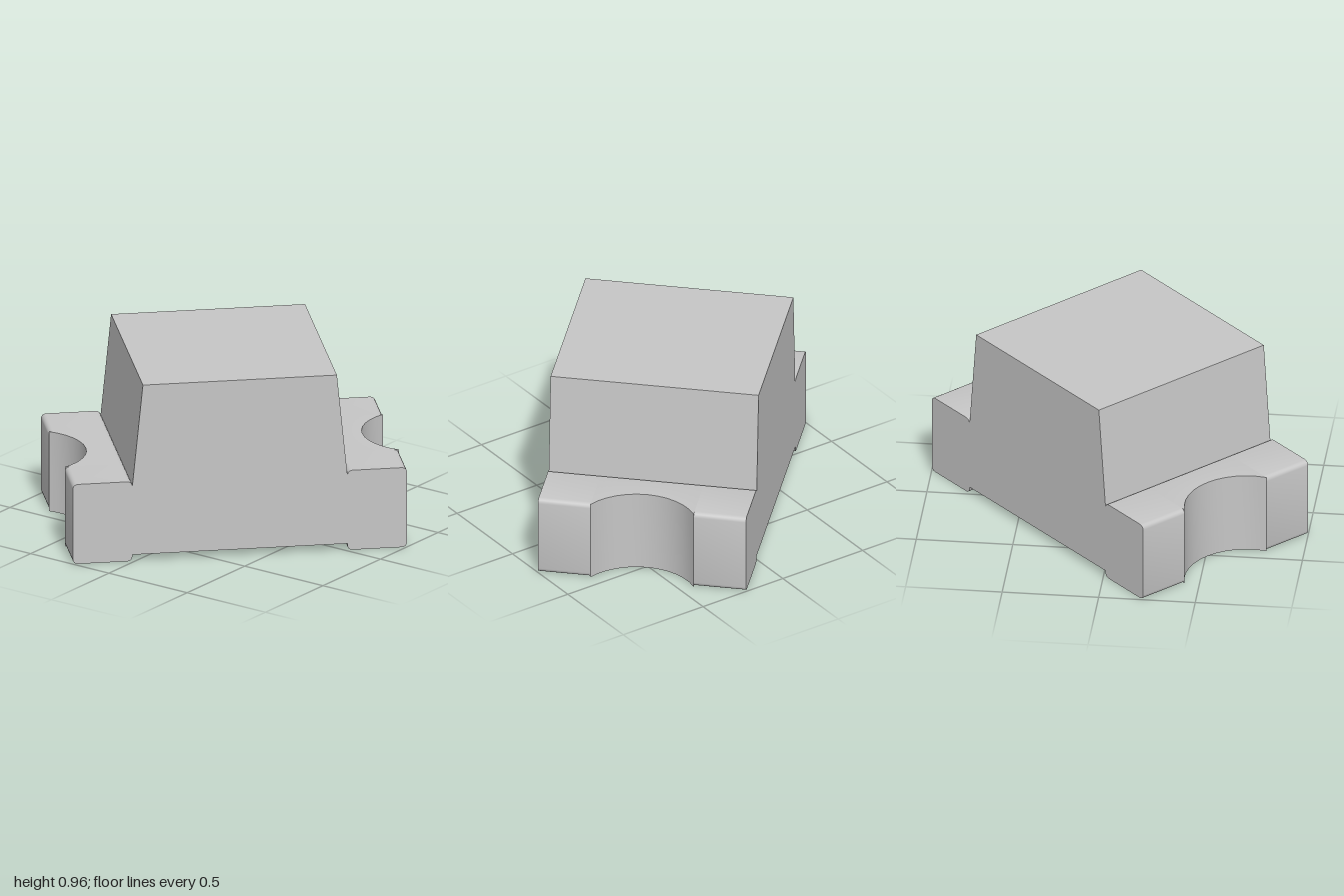
import * as THREE from 'three';
import { toCreasedNormals } from 'three/addons/utils/BufferGeometryUtils.js';

const HALF_WIDTH = 0.544, INNER = 0.56, OUTER = 0.87, PAD_TOP = 0.435, ROUND = 0.025;
const NOTCH_CENTRE = 1.038, NOTCH_RADIUS = 0.318, NOTCH_HALF = 0.27;

// Cross-section of a terminal, counterclockwise; outer corners rounded by r
function section(outer, r) {
  const pts = [];
  const corner = (x, y, rad, start) => {
    for (let i = 0; i <= 4; i++) {
      const a = start + (i / 4) * Math.PI / 2;
      pts.push([x + rad * Math.cos(a), y + rad * Math.sin(a)]);
    }
  };
  corner(INNER + ROUND, ROUND, ROUND, Math.PI);
  corner(outer - r, r, r, Math.PI * 1.5);
  corner(outer - r, PAD_TOP - r, r, 0);
  corner(INNER + ROUND, PAD_TOP - ROUND, ROUND, Math.PI / 2);
  return pts;
}

// Terminal block lofted across its width, with a round notch in the end
function terminalGeometry() {
  const rings = [];
  const add = (z, outer, r) => rings.push(section(outer, r).map(([x, y]) => [x, y, z]));
  add(-HALF_WIDTH, OUTER, ROUND);
  add(-NOTCH_HALF, OUTER, ROUND);
  const span = Math.asin(NOTCH_HALF / NOTCH_RADIUS);
  for (let i = 0; i <= 12; i++) {
    const a = span * (i / 6 - 1);
    add(NOTCH_RADIUS * Math.sin(a), NOTCH_CENTRE - NOTCH_RADIUS * Math.cos(a), 0);
  }
  add(NOTCH_HALF, OUTER, ROUND);
  add(HALF_WIDTH, OUTER, ROUND);

  const n = rings[0].length, last = (rings.length - 1) * n, index = [];
  for (let s = 0; s < rings.length - 1; s++) {
    for (let i = 0; i < n; i++) {
      const a = s * n + i, b = s * n + (i + 1) % n;
      index.push(a, b, b + n, a, b + n, a + n);
    }
  }
  for (let i = 1; i < n - 1; i++) {
    index.push(0, i + 1, i, last, last + i, last + i + 1);
  }
  const geo = new THREE.BufferGeometry();
  geo.setAttribute('position', new THREE.Float32BufferAttribute(rings.flat(2), 3));
  geo.setIndex(index);
  return toCreasedNormals(geo, 0.6);
}

function polygon(points) {
  return new THREE.Shape(points.map(([x, y]) => new THREE.Vector2(x, y)));
}

export function createModel() {
  const grey = new THREE.MeshStandardMaterial({ color: 0xc6c6c6 });
  grey.name = 'light grey';

  const model = new THREE.Group();
  model.name = 'chipComponent';
  const add = (name, geometry) => {
    const mesh = new THREE.Mesh(geometry, grey);
    mesh.name = name;
    model.add(mesh);
    return mesh;
  };

  // Central body with tapered upper part
  const body = new THREE.ExtrudeGeometry(polygon([
    [-INNER, 0.035], [INNER, 0.035], [INNER, 0.41],
    [0.505, 0.96], [-0.505, 0.96], [-INNER, 0.41],
  ]), { depth: HALF_WIDTH * 2, bevelEnabled: false });
  body.translate(0, 0, -HALF_WIDTH);
  add('body', body);

  // Two notched end terminals
  const terminal = terminalGeometry();
  add('frontTerminal', terminal);
  add('backTerminal', terminal).rotation.y = Math.PI;

  // Raised direction triangle on the underside
  const marker = new THREE.ExtrudeGeometry(
    polygon([[0.38, -0.43], [0.38, 0.43], [-0.37, 0]]),
    { depth: 0.018, bevelEnabled: false });
  marker.rotateX(Math.PI / 2);
  marker.translate(0, 0.036, 0);
  add('polarityMarker', marker);

  // The part sits diagonally
  model.rotation.y = -Math.PI / 4;
  const root = new THREE.Group();
  root.name = 'model';
  root.add(model);
  return root;
}
